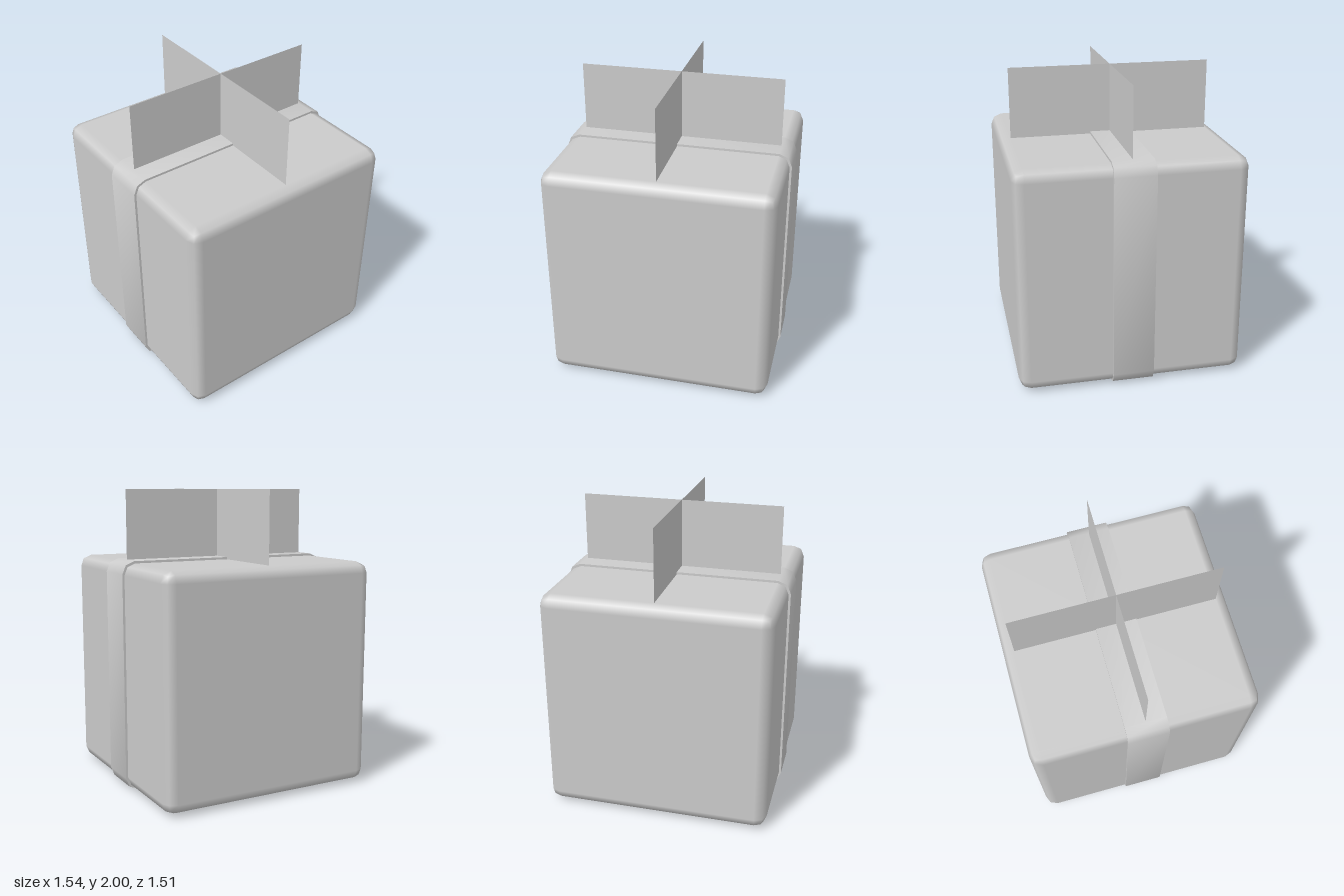
import * as THREE from 'three';
import { toCreasedNormals } from 'three/addons/utils/BufferGeometryUtils.js';
import { RoundedBoxGeometry } from 'three/addons/geometries/RoundedBoxGeometry.js';

const CENTRE_Y = 0.77;
const BEVEL = 0.075;

// Square outline of half-size h with corners rounded in two steps
function roundedSquare(h, r) {
  const points = [];
  for (let corner = 0; corner < 4; corner++) {
    const start = corner * Math.PI / 2;
    const mid = start + Math.PI / 4;
    const cx = Math.sign(Math.cos(mid)) * (h - r);
    const cy = Math.sign(Math.sin(mid)) * (h - r);
    for (let i = 0; i <= 2; i++) {
      const a = start + i * Math.PI / 4;
      points.push(new THREE.Vector2(cx + r * Math.cos(a), cy + r * Math.sin(a)));
    }
  }
  return points;
}

export function createModel() {
  const group = new THREE.Group();
  const material = new THREE.MeshStandardMaterial({ color: 0xcccccc });
  const thin = new THREE.MeshStandardMaterial({ color: 0xcccccc, side: THREE.DoubleSide });

  const add = (name, geometry, mat, y) => {
    const mesh = new THREE.Mesh(geometry, mat);
    mesh.name = name;
    mesh.position.y = y;
    group.add(mesh);
    return mesh;
  };

  // Box with softly bevelled edges
  add('giftBox', new RoundedBoxGeometry(1.51, 1.51, 1.51, 1, BEVEL), material, CENTRE_Y);

  // Ribbon wrapped around the sides, top and bottom
  const width = 0.274;
  const band = new THREE.Shape(roundedSquare(0.77, 0.085));
  band.holes.push(new THREE.Path(roundedSquare(0.745, BEVEL).reverse()));
  const ribbon = new THREE.ExtrudeGeometry(band, { depth: width, bevelEnabled: false });
  ribbon.translate(0, 0, -width / 2);
  add('ribbon', toCreasedNormals(ribbon, Math.PI / 3), material, CENTRE_Y);

  // Bow made of two crossed upright sheets
  const bottom = 1.525, top = 2;
  ['bowAcross', 'bowAlong'].forEach((name, i) => {
    const sheet = add(name, new THREE.PlaneGeometry(1.36, top - bottom), thin, (top + bottom) / 2);
    sheet.rotation.y = i * Math.PI / 2;
  });

  return group;
}
